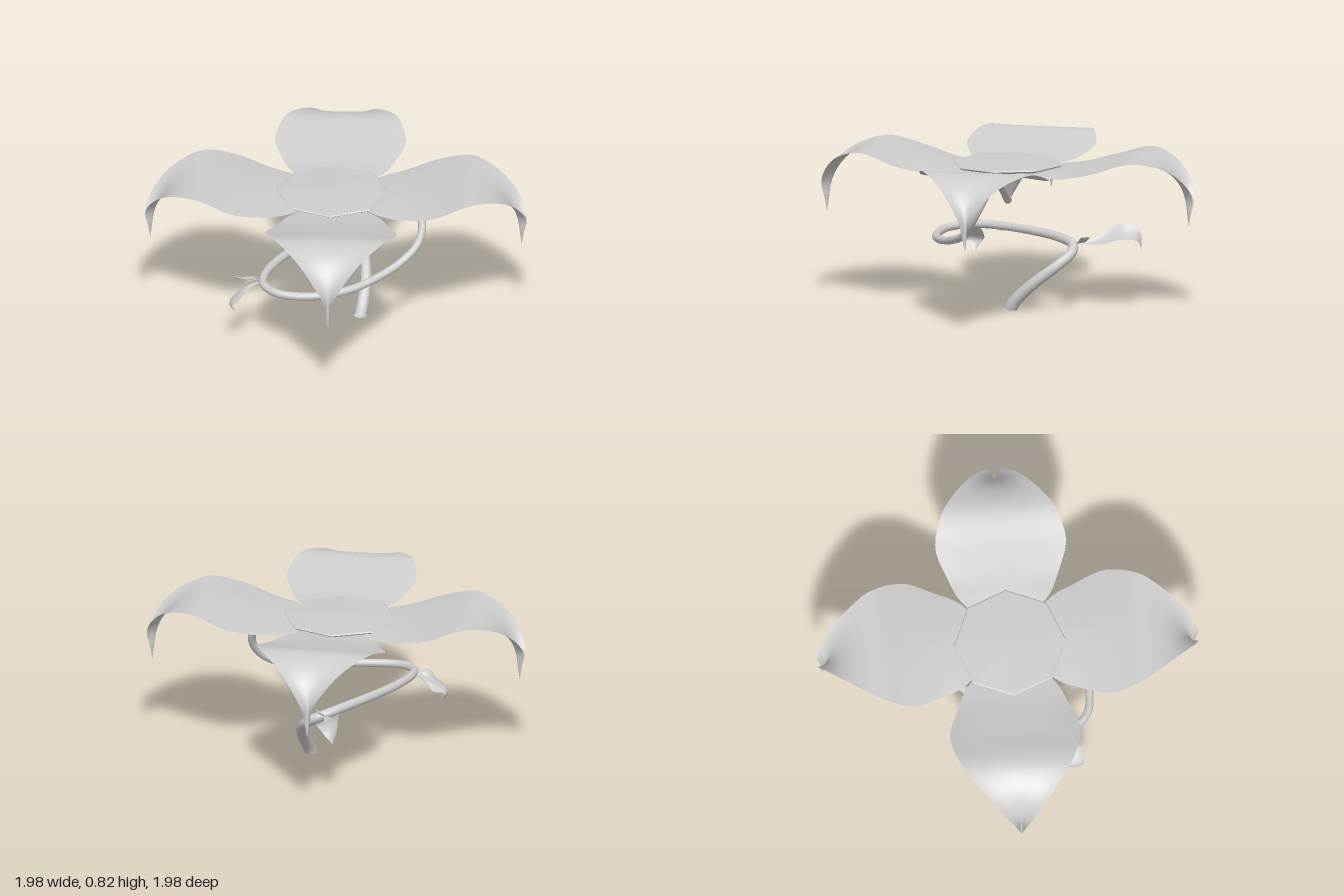
import * as THREE from 'three';

const V = (p) => new THREE.Vector3(...p);
const mat = new THREE.MeshStandardMaterial({ color: 0xcccccc, side: THREE.DoubleSide });

function add(parent, name, geometry) {
  const mesh = new THREE.Mesh(geometry, mat);
  mesh.name = name;
  parent.add(mesh);
  return mesh;
}

// Thin blade swept along a centre line; each form entry is [half width, edge lift]
function blade(path, form, sideDir, rows = 40, cols = 12) {
  const line = new THREE.CatmullRomCurve3(path.map(V), false, 'centripetal');
  const shape = new THREE.CatmullRomCurve3(form.map(([w, c]) => V([w, c, 0])), false, 'catmullrom', 0.5);
  const side = V(sideDir).normalize();
  const pos = [], index = [];
  for (let i = 0; i <= rows; i++) {
    const t = i / rows;
    const p = line.getPoint(t);
    const s = shape.getPoint(t);
    const up = side.clone().cross(line.getTangent(t)).normalize();
    for (let j = 0; j <= cols; j++) {
      const v = (j / cols) * 2 - 1;
      const q = p.clone().addScaledVector(side, Math.max(s.x, 0) * v).addScaledVector(up, s.y * v * v);
      pos.push(q.x, q.y, q.z);
      if (i < rows && j < cols) {
        const a = i * (cols + 1) + j, b = a + cols + 1;
        index.push(a, a + 1, b, a + 1, b + 1, b);
      }
    }
  }
  const g = new THREE.BufferGeometry();
  g.setAttribute('position', new THREE.Float32BufferAttribute(pos, 3));
  g.setIndex(index);
  g.computeVertexNormals();
  return g;
}

// Round tube whose radius follows radius(u)
function taperedTube(points, radius, segments = 160, sides = 14) {
  const curve = new THREE.CatmullRomCurve3(points.map(V), false, 'centripetal');
  const g = new THREE.TubeGeometry(curve, segments, 1, sides);
  const pos = g.attributes.position;
  const q = new THREE.Vector3();
  for (let i = 0; i < pos.count; i++) {
    const u = Math.floor(i / (sides + 1)) / segments;
    const c = curve.getPointAt(u);
    q.fromBufferAttribute(pos, i).sub(c).multiplyScalar(radius(u)).add(c);
    pos.setXYZ(i, q.x, Math.max(q.y, 0), q.z);
  }
  return g;
}

export function createModel() {
  const model = new THREE.Group();
  model.name = 'flower';

  // Four petals: steep throat, shallow rise, then a drooping cupped tip
  // station: radius, height, half width, edge lift
  const stations = [
    [0.0, 0.54, 0.005, 0], [0.04, 0.62, 0.04, 0], [0.08, 0.685, 0.085, 0],
    [0.15, 0.712, 0.15, 0], [0.25, 0.731, 0.238, -0.01], [0.35, 0.746, 0.285, -0.018],
    [0.52, 0.78, 0.34, -0.012], [0.7, 0.819, 0.292, 0], [0.8, 0.792, 0.22, 0.012],
    [0.87, 0.74, 0.148, 0.03], [0.92, 0.67, 0.08, 0.042], [0.945, 0.6, 0.028, 0.046],
    [0.955, 0.53, 0.014, 0.022], [0.965, 0.455, 0.002, 0],
  ];
  const petal = blade(
    stations.map(([r, y]) => [r, y, 0]),
    stations.map(([, , w, c]) => [w, c]),
    [0, 0, 1], 64, 20);
  for (let i = 0; i < 4; i++) add(model, 'petal', petal).rotation.y = (i * Math.PI) / 2;

  // Octagonal flower centre, gently domed, with a narrow rim
  const disc = new THREE.LatheGeometry(
    [[0, 0.73], [0.275, 0.735], [0.293, 0.746], [0.286, 0.752], [0, 0.764]].map((p) => new THREE.Vector2(...p)), 8);
  const flat = disc.toNonIndexed();
  flat.computeVertexNormals();
  add(model, 'flowerCentre', flat).position.set(-0.018, 0, 0.008);

  // Looping stem, thicker at the foot
  const stem = [
    [0.125, 0, -0.04], [0.135, 0.05, -0.07], [0.148, 0.15, -0.175], [0.13, 0.24, -0.29],
    [0.08, 0.3, -0.355], [0.0, 0.335, -0.345], [-0.1, 0.352, -0.25], [-0.22, 0.357, -0.085],
    [-0.315, 0.357, 0.08], [-0.365, 0.355, 0.23], [-0.358, 0.35, 0.32], [-0.28, 0.343, 0.395],
    [-0.1, 0.337, 0.405], [0.08, 0.346, 0.345], [0.23, 0.374, 0.245], [0.35, 0.422, 0.155],
    [0.425, 0.49, 0.1], [0.45, 0.58, 0.05], [0.41, 0.67, 0.01], [0.31, 0.703, 0],
    [0.24, 0.69, 0], [0.14, 0.645, 0], [0, 0.555, 0],
  ];
  add(model, 'stem', taperedTube(stem, (u) => 0.021 + 0.013 * Math.pow(1 - u, 5)));
  const foot = add(model, 'stemFoot', new THREE.CircleGeometry(0.034, 14));
  foot.rotation.x = Math.PI / 2;
  foot.position.set(0.125, 0.001, -0.04);

  // Leaves in two clusters: centre line, largest half width, side direction
  const leaves = [
    [[[0, 0.34, -0.38], [-0.03, 0.345, -0.45], [-0.05, 0.365, -0.52], [-0.06, 0.39, -0.6], [-0.08, 0.375, -0.67], [-0.09, 0.31, -0.69]], 0.068, [0.85, -0.5, 0]],
    [[[0, 0.335, -0.36], [0.01, 0.35, -0.39], [0.02, 0.36, -0.415], [0.025, 0.38, -0.445]], 0.035, [0.85, 0.5, 0]],
    [[[-0.37, 0.345, 0.26], [-0.44, 0.335, 0.29], [-0.5, 0.29, 0.305], [-0.54, 0.24, 0.305], [-0.51, 0.18, 0.3]], 0.058, [0, 0, 1]],
    [[[-0.37, 0.35, 0.25], [-0.42, 0.35, 0.22], [-0.48, 0.325, 0.18], [-0.55, 0.31, 0.14]], 0.048, [0.4, 0.4, 0.8]],
    [[[-0.37, 0.35, 0.26], [-0.41, 0.36, 0.27], [-0.45, 0.355, 0.28], [-0.48, 0.32, 0.29]], 0.025, [0, 0.4, 0.9]],
  ];
  const leafForm = [0.08, 0.35, 0.9, 1, 0.65, 0.02];
  for (const [path, width, side] of leaves)
    add(model, 'leaf', blade(path, leafForm.map((f) => [f * width, f * width * 0.25]), side, 20, 8));

  return model;
}
